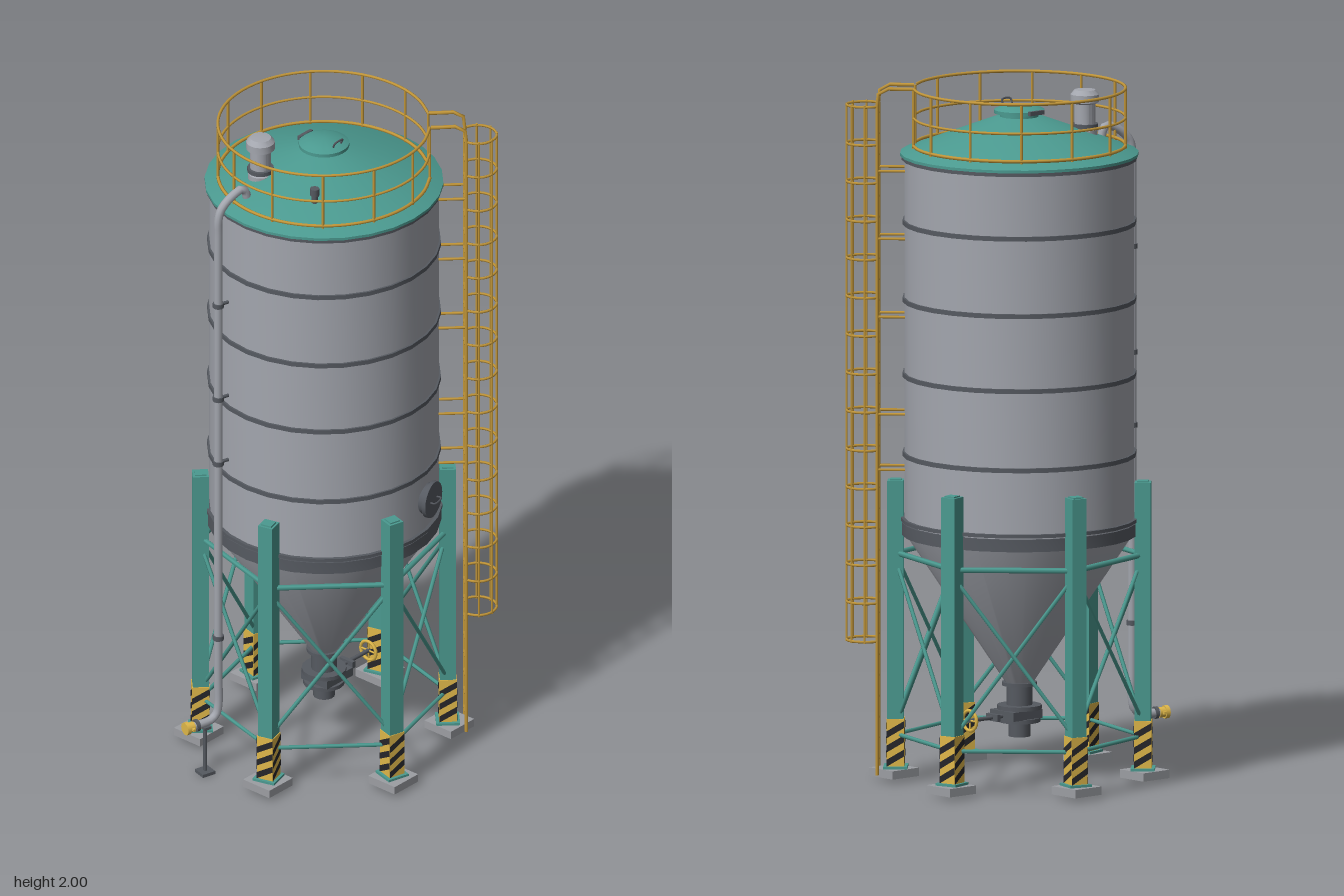
import * as THREE from 'three';
import { toCreasedNormals } from 'three/addons/utils/BufferGeometryUtils.js';

const mat = (name, color) => Object.assign(new THREE.MeshStandardMaterial({ color }), { name });
const V = (x, y, z) => new THREE.Vector3(x, y, z);
const rad = THREE.MathUtils.degToRad;

export function createModel() {
  const steel = mat('galvanised steel', 0xa3a6ae);
  const dark = mat('dark steel', 0x565a61);
  const teal = mat('teal paint', 0x4b9a90);
  const rail = mat('rail yellow', 0xc4983a);
  const yellow = mat('hazard yellow', 0xe0b84a);
  const black = mat('hazard black', 0x26262a);
  const concrete = mat('concrete', 0x9c9ea3);
  black.side = THREE.DoubleSide;

  const model = new THREE.Group();
  model.name = 'storageSilo';
  const silo = new THREE.Group();
  silo.name = 'silo';
  silo.position.x = 0.035;
  model.add(silo);

  const add = (parent, name, geo, m, x = 0, y = 0, z = 0) => {
    const mesh = new THREE.Mesh(geo, m);
    mesh.name = name;
    mesh.position.set(x, y, z);
    parent.add(mesh);
    return mesh;
  };
  // group whose local +x points outward at the given compass angle
  const spoke = (name, deg) => {
    const g = new THREE.Group();
    g.name = name;
    g.rotation.y = -rad(deg);
    silo.add(g);
    return g;
  };
  const lathe = (parent, name, pts, m, x = 0, y = 0, z = 0, seg = 28) =>
    add(parent, name, toCreasedNormals(new THREE.LatheGeometry(pts.map(p => new THREE.Vector2(...p)), seg), 0.45), m, x, y, z);
  const box = (parent, name, w, h, d, m, x, y, z) => add(parent, name, new THREE.BoxGeometry(w, h, d), m, x, y, z);
  const cyl = (parent, name, r, h, m, x, y, z, seg = 16) =>
    add(parent, name, new THREE.CylinderGeometry(r, r, h, seg), m, x, y, z);
  // round bar between two points
  const bar = (parent, name, a, b, r, m, seg = 6) => {
    const mesh = cyl(parent, name, r, a.distanceTo(b), m, 0, 0, 0, seg);
    mesh.position.copy(a).add(b).multiplyScalar(0.5);
    mesh.quaternion.setFromUnitVectors(V(0, 1, 0), b.clone().sub(a).normalize());
    return mesh;
  };
  const tube = (parent, name, pts, r, m, n = 40, seg = 8) =>
    add(parent, name, new THREE.TubeGeometry(new THREE.CatmullRomCurve3(pts, false, 'centripetal'), n, r, seg), m);
  const polar = (deg, r, y) => V(r * Math.cos(rad(deg)), y, r * Math.sin(rad(deg)));

  // shell, hopper and bands
  lathe(silo, 'shell', [[0.327, 0.72], [0.327, 1.8]], steel);
  lathe(silo, 'hopper', [[0, 0.28], [0.036, 0.28], [0.325, 0.715], [0.327, 0.725]], steel);
  const band = (name, y, h, r) => lathe(silo, name, [[0.32, y - h / 2], [r, y - h / 2], [r, y + h / 2], [0.32, y + h / 2]], dark);
  for (const y of [0.946, 1.174, 1.39, 1.613]) band('shellBand', y, 0.013, 0.333);
  band('skirtBand', 0.73, 0.036, 0.334);
  band('skirtRim', 0.757, 0.01, 0.337);
  band('eaveBand', 1.8, 0.014, 0.336);

  // roof and top hatch
  lathe(silo, 'roof', [[0.32, 1.804], [0.34, 1.804], [0.34, 1.812], [0.066, 1.915], [0, 1.915]], teal);
  lathe(silo, 'hatchNeck', [[0.055, 1.9], [0.055, 1.93]], teal);
  lathe(silo, 'hatchLid', [[0, 1.925], [0.072, 1.925], [0.072, 1.935], [0.05, 1.945], [0, 1.95]], teal);
  box(silo, 'hatchHinge', 0.055, 0.012, 0.01, dark, 0, 1.932, -0.072);
  tube(silo, 'hatchHandle', [V(-0.016, 1.94, 0.048), V(-0.016, 1.958, 0.056), V(0.016, 1.958, 0.056), V(0.016, 1.94, 0.048)], 0.003, dark, 16, 5);

  // roof filter and small vent
  lathe(silo, 'roofFilter', [[0.036, 1.85], [0.036, 1.87], [0.03, 1.875], [0.03, 1.945], [0.041, 1.95], [0.041, 1.972], [0.03, 1.985], [0, 1.988]], steel, -0.165, 0, -0.095, 20);
  cyl(silo, 'filterCollar', 0.038, 0.012, dark, -0.165, 1.882, -0.095, 20);
  cyl(silo, 'roofVent', 0.009, 0.07, dark, -0.175, 1.86, 0.12, 8);
  cyl(silo, 'roofVentCap', 0.014, 0.022, dark, -0.175, 1.892, 0.12, 8);

  // roof railing, open at the ladder
  const railing = new THREE.Group();
  railing.name = 'roofRailing';
  silo.add(railing);
  const from = 53, to = 397, spans = 12;
  for (const [y, r] of [[1.996, 0.0045], [1.912, 0.004], [1.832, 0.005]]) {
    const pts = [];
    for (let i = 0; i <= 24; i++) pts.push(polar(from + (to - from) * i / 24, 0.302, y));
    tube(railing, 'railingRail', pts, r, rail, 72, 6);
  }
  for (let i = 0; i <= spans; i++) {
    const a = from + (to - from) * i / spans;
    bar(railing, 'railingPost', polar(a, 0.302, 1.815), polar(a, 0.302, 1.996), 0.004, rail);
  }

  // legs with pads and hazard sleeves
  const stripes = [0.042, 0.083, 0.124].map(y => new THREE.Shape([
    [-0.026, y], [0.026, y + 0.03], [0.026, y + 0.05], [-0.026, y + 0.02],
  ].map(p => new THREE.Vector2(...p))));
  const stripeGeo = new THREE.ShapeGeometry(stripes);
  const braceR = 0.35;
  for (let i = 0; i < 6; i++) {
    const a = 45 + 60 * i, b = a + 60;
    const leg = spoke('leg', a);
    box(leg, 'legPost', 0.046, 0.825, 0.046, teal, 0.352, 0.4525, 0);
    box(leg, 'legCap', 0.032, 0.006, 0.032, teal, 0.352, 0.866, 0);
    box(leg, 'basePlate', 0.068, 0.008, 0.068, teal, 0.352, 0.039, 0);
    box(leg, 'hazardSleeve', 0.05, 0.138, 0.05, yellow, 0.352, 0.11, 0);
    for (let s = 0; s < 4; s++) {
      const t = s * Math.PI / 2;
      const face = add(leg, 'hazardStripes', stripeGeo, black, 0.352 + 0.0262 * Math.sin(t), 0, 0.0262 * Math.cos(t));
      face.rotation.y = t;
      face.scale.x = 0.96;
    }
    const p = polar(a, 0.357, 0.024);
    box(silo, 'footPad', 0.1, 0.024, 0.1, concrete, p.x, p.y, p.z);

    // ring beams and cross bracing to the next leg
    bar(silo, 'upperBeam', polar(a, braceR, 0.655), polar(b, braceR, 0.655), 0.008, teal);
    bar(silo, 'lowerBeam', polar(a, braceR, 0.133), polar(b, braceR, 0.133), 0.006, teal);
    bar(silo, 'crossBrace', polar(a, 0.347, 0.64), polar(b, 0.347, 0.17), 0.006, teal);
    bar(silo, 'crossBrace', polar(b, 0.353, 0.64), polar(a, 0.353, 0.17), 0.006, teal);
  }

  // round access door
  const door = spoke('accessDoor', 75);
  cyl(door, 'doorFrame', 0.046, 0.05, dark, 0.318, 0.855, 0, 20).rotation.z = Math.PI / 2;
  cyl(door, 'doorLid', 0.054, 0.012, dark, 0.343, 0.855, 0, 20).rotation.z = Math.PI / 2;
  tube(door, 'doorHandle', [V(0.347, 0.855, -0.02), V(0.362, 0.855, -0.02), V(0.362, 0.855, 0.02), V(0.347, 0.855, 0.02)], 0.003, dark, 16, 5);

  // discharge outlet, slide valve and handwheel
  cyl(silo, 'outletNeck', 0.037, 0.07, dark, 0, 0.255, 0, 20);
  cyl(silo, 'outletFlange', 0.05, 0.01, dark, 0, 0.282, 0, 20);
  cyl(silo, 'valveTopFlange', 0.064, 0.012, dark, 0, 0.215, 0, 16);
  box(silo, 'valveBody', 0.11, 0.026, 0.1, dark, 0.012, 0.196, 0);
  cyl(silo, 'valveBottomFlange', 0.06, 0.012, dark, 0, 0.178, 0, 16);
  cyl(silo, 'dischargeSpout', 0.031, 0.05, dark, 0, 0.155, 0, 16);
  bar(silo, 'valveStem', V(0.06, 0.194, 0), V(0.195, 0.194, 0), 0.006, dark, 8);
  box(silo, 'valveYoke', 0.012, 0.02, 0.05, dark, 0.1, 0.194, 0);
  add(silo, 'handwheel', new THREE.TorusGeometry(0.029, 0.005, 6, 20), yellow, 0.19, 0.194, 0).rotation.y = Math.PI / 2;
  bar(silo, 'handwheelSpoke', V(0.19, 0.166, 0), V(0.19, 0.222, 0), 0.003, yellow);
  bar(silo, 'handwheelSpoke', V(0.19, 0.194, -0.028), V(0.19, 0.194, 0.028), 0.003, yellow);

  // ladder with gooseneck stiles
  const ladder = spoke('ladder', 45), lr = 0.403, lw = 0.042;
  for (const z of [-lw, lw]) {
    tube(ladder, 'ladderStile', [V(lr, 0.02, z), V(lr, 1, z), V(lr, 1.94, z), V(lr, 1.97, z), V(lr - 0.008, 1.988, z),
      V(lr - 0.025, 1.996, z), V(lr - 0.06, 1.996, z), V(0.302, 1.996, z)], 0.0055, rail, 60, 6);
    for (const y of [0.9, 1.06, 1.34, 1.565, 1.76]) bar(ladder, 'ladderBracket', V(0.322, y, z), V(lr, y, z), 0.004, rail);
  }
  for (let i = 0; i < 32; i++) bar(ladder, 'rung', V(lr, 0.06 + i * 0.06, -lw), V(lr, 0.06 + i * 0.06, lw), 0.004, rail);

  // safety cage
  const cageX = 0.438, cageR = 0.054, reach = rad(130);
  const hoopGeo = new THREE.TorusGeometry(cageR, 0.004, 5, 20, reach * 2).rotateZ(-reach).rotateX(Math.PI / 2);
  for (let i = 0; i <= 14; i++) add(ladder, 'cageHoop', hoopGeo, rail, cageX, 0.405 + i * 0.11, 0);
  for (const d of [-90, -45, 0, 45, 90]) {
    const x = cageX + cageR * Math.cos(rad(d)), z = cageR * Math.sin(rad(d));
    bar(ladder, 'cageStrip', V(x, 0.4, z), V(x, 1.95, z), 0.0035, rail);
  }

  // filling pipe with coupling and support stand
  const fill = spoke('fillPipe', 195);
  tube(fill, 'pipe', [V(0.45, 0.165, 0), V(0.41, 0.165, 0), V(0.385, 0.168, 0), V(0.367, 0.182, 0), V(0.36, 0.21, 0), V(0.36, 0.3, 0), V(0.36, 1, 0),
    V(0.36, 1.74, 0), V(0.36, 1.79, 0), V(0.352, 1.82, 0), V(0.332, 1.843, 0), V(0.3, 1.863, 0), V(0.282, 1.869, 0), V(0.27, 1.862, 0), V(0.262, 1.835, 0)], 0.0125, steel, 120, 10);
  bar(fill, 'pipeFlange', V(0.43, 0.165, 0), V(0.44, 0.165, 0), 0.018, dark, 12);
  bar(fill, 'coupling', V(0.445, 0.165, 0), V(0.472, 0.165, 0), 0.015, yellow, 12);
  bar(fill, 'couplingRim', V(0.462, 0.165, 0), V(0.474, 0.165, 0), 0.019, yellow, 12);
  box(fill, 'couplingLugs', 0.008, 0.008, 0.046, yellow, 0.455, 0.165, 0);
  for (const y of [0.43, 1.0, 1.21, 1.515]) {
    cyl(fill, 'pipeClamp', 0.016, 0.014, dark, 0.36, y, 0, 12);
    if (y > 0.8) bar(fill, 'clampArm', V(0.322, y, 0), V(0.36, y, 0), 0.005, dark);
  }
  bar(fill, 'standPost', V(0.405, 0, 0), V(0.405, 0.155, 0), 0.006, dark, 8);
  box(fill, 'standFoot', 0.042, 0.01, 0.042, dark, 0.405, 0.005, 0);
  box(fill, 'standSaddle', 0.024, 0.008, 0.032, dark, 0.405, 0.152, 0);

  return model;
}
